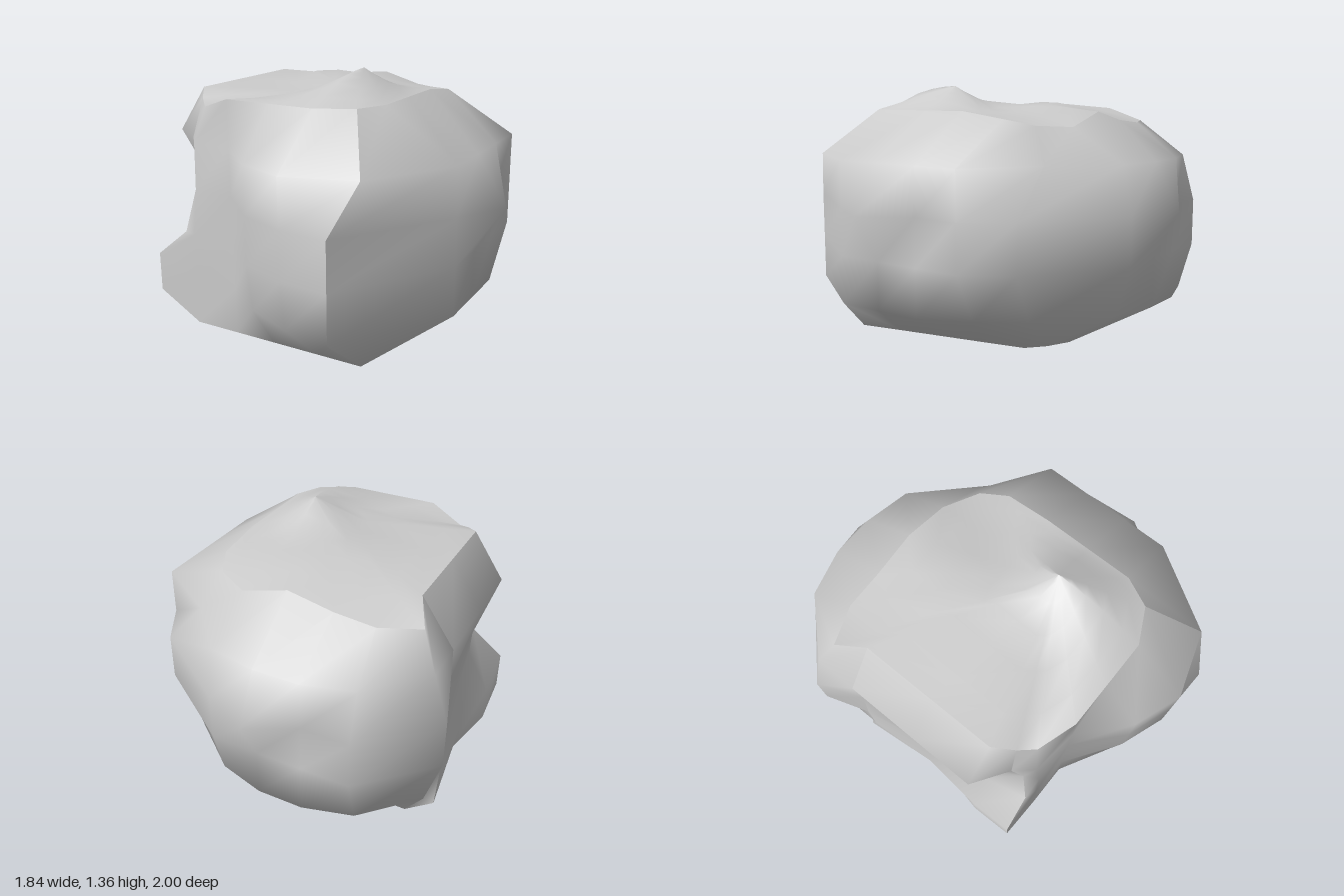
import * as THREE from 'three';

// Widest outline as [x, z], from the front corner round by the right and back
const OUTLINE = [
  [0.4, 1], [0.77, 0.45], [0.77, 0.2], [0.77, -0.05], [0.77, -0.3], [0.63, -0.54],
  [0.15, -0.87], [-0.1, -0.87], [-0.34, -0.87], [-0.59, -0.87], [-0.92, -0.54],
  [-0.84, -0.3], [-0.84, 0.1], [-0.84, 0.45], [-0.84, 0.69], [-0.59, 0.69],
  [-0.34, 0.69], [-0.1, 0.9], [0.15, 0.99],
];
const N = OUTLINE.length;
const PEAK = { x: 0.15, z: 0.2 };
const RIM_Y = 1.235;
const { clamp, lerp } = THREE.MathUtils;
const material = new THREE.MeshStandardMaterial({ color: 0xcccccc });

// One level of the rock: the outline, optionally clipped to a box, with some points moved
function level(y, moved = {}, box = [-2, 2, -2, 2]) {
  return OUTLINE.map(([x, z], i) => {
    const p = moved[i] ?? [clamp(x, box[0], box[1]), clamp(z, box[2], box[3])];
    return [p[0], p[2] ?? y, p[1]];
  });
}

// Crown relief: a tent-like peak near the front and a low swelling behind it
function relief(x, z) {
  const across = Math.max(0, 1 - Math.abs(x - PEAK.x) / 0.25);
  const t = z - PEAK.z;
  const along = Math.max(0, t > 0 ? 1 - (t / 0.49) ** 2 : 1 + t / 0.25);
  const swelling = Math.exp(-(((x + 0.24) / 0.28) ** 2) - ((z + 0.2) / 0.28) ** 2);
  return 0.125 * across * along + 0.05 * swelling;
}

// The rim shrunk towards the peak by k, with the relief fading out at the rim
function crownRing(rim, k) {
  return rim.map(([rx, ry, rz]) => {
    const x = lerp(PEAK.x, rx, k);
    const z = lerp(PEAK.z, rz, k);
    return [x, lerp(RIM_Y, ry, k ** 3) + relief(x, z) * (1 - k ** 8), z];
  });
}

// Smooth patch skinned over rows of points; its borders stay sharp
function patch(name, rows, closed = false) {
  const n = rows[0].length;
  const index = [];
  for (let r = 0; r < rows.length - 1; r++) {
    for (let i = 0; i < (closed ? n : n - 1); i++) {
      const j = (i + 1) % n;
      const a = r * n + i, b = r * n + j, c = a + n, d = b + n;
      index.push(a, b, d, a, d, c);
    }
  }
  const geometry = new THREE.BufferGeometry();
  geometry.setAttribute('position', new THREE.Float32BufferAttribute(rows.flat(2), 3));
  geometry.setIndex(index);
  geometry.computeVertexNormals();
  const mesh = new THREE.Mesh(geometry, material);
  mesh.name = name;
  return mesh;
}

export function createModel() {
  // Underside edge, slightly raised at the back and left
  const base = level(0, {
    1: [0.35, 0.45], 2: [0.3, 0.2], 3: [0.25, -0.05], 4: [0.2, -0.29], 5: [0.18, -0.42, 0.03],
    6: [0.16, -0.54, 0.07], 7: [-0.1, -0.48, 0.04], 8: [-0.34, -0.45, 0.04],
    9: [-0.55, -0.45, 0.04], 10: [-0.72, -0.46, 0.05], 11: [-0.84, -0.36, 0.06],
    12: [-0.77, 0.1, 0.05], 13: [-0.84, 0.45, 0.05], 14: [-0.84, 0.69, 0.14],
  }, [-0.84, 0.4, -0.54, 0.69]);

  // Rim of the top, dipping along the back and at the left corners
  const rim = level(RIM_Y, {
    0: [0.33, 0.6], 4: [0.4, -0.3, 1.2], 5: [0.33, -0.44, 1.17], 6: [0.15, -0.54, 1.16],
    7: [-0.1, -0.54, 1.23], 8: [-0.34, -0.54, 1.18], 9: [-0.55, -0.54, 1.16],
    10: [-0.75, -0.46, 1.165], 14: [-0.6, 0.55, 1.2], 15: [-0.53, 0.62, 1.17],
  }, [-0.67, 0.4, -0.54, 0.69]);

  const levels = [
    base,
    // Foot at the front left corner
    level(0.25, {
      4: [0.65, -0.3], 5: [0.5, -0.52], 6: [0.15, -0.8], 9: [-0.59, -0.8],
      10: [-0.84, -0.54], 12: [-0.81, 0.1], 14: [-0.84, 0.69, 0.35],
      17: [-0.1, 0.86], 18: [0.15, 0.96],
    }),
    // Dent in the left side, above the foot
    level(0.5, { 12: [-0.77, 0.1], 13: [-0.72, 0.42], 14: [-0.66, 0.67] }),
    level(0.745, {
      2: [0.92, 0.2], 7: [-0.1, -1], 11: [-0.82, -0.3], 12: [-0.78, 0.1],
      13: [-0.74, 0.38], 14: [-0.61, 0.61], 15: [-0.57, 0.68],
    }),
    // Overhanging shoulder
    level(0.99, {
      0: [0.5, 0.88], 5: [0.41, -0.54], 6: [0.15, -0.82], 9: [-0.59, -0.8],
      10: [-0.84, -0.53], 14: [-0.66, 0.57], 15: [-0.58, 0.66],
    }),
    rim,
  ];

  // Walls between the sharp upright edges, then the crown and the underside
  const wall = (name, from, to) => patch(name, levels.map((row) => [...row, row[0]].slice(from, to + 1)));
  const crownRows = [1, 0.8, 0.55, 0.33, 0.15, 0.04, 0].map((k) => crownRing(rim, k));
  const undersideRows = [base.map(() => [-0.15, 0, 0.2]), base];

  const group = new THREE.Group();
  group.name = 'boulder';
  group.add(
    wall('rightAndBackWall', 0, 11),
    wall('dentedLeftWall', 11, 14),
    wall('frontWall', 14, N),
    patch('crown', crownRows, true),
    patch('underside', undersideRows, true),
  );
  return group;
}
